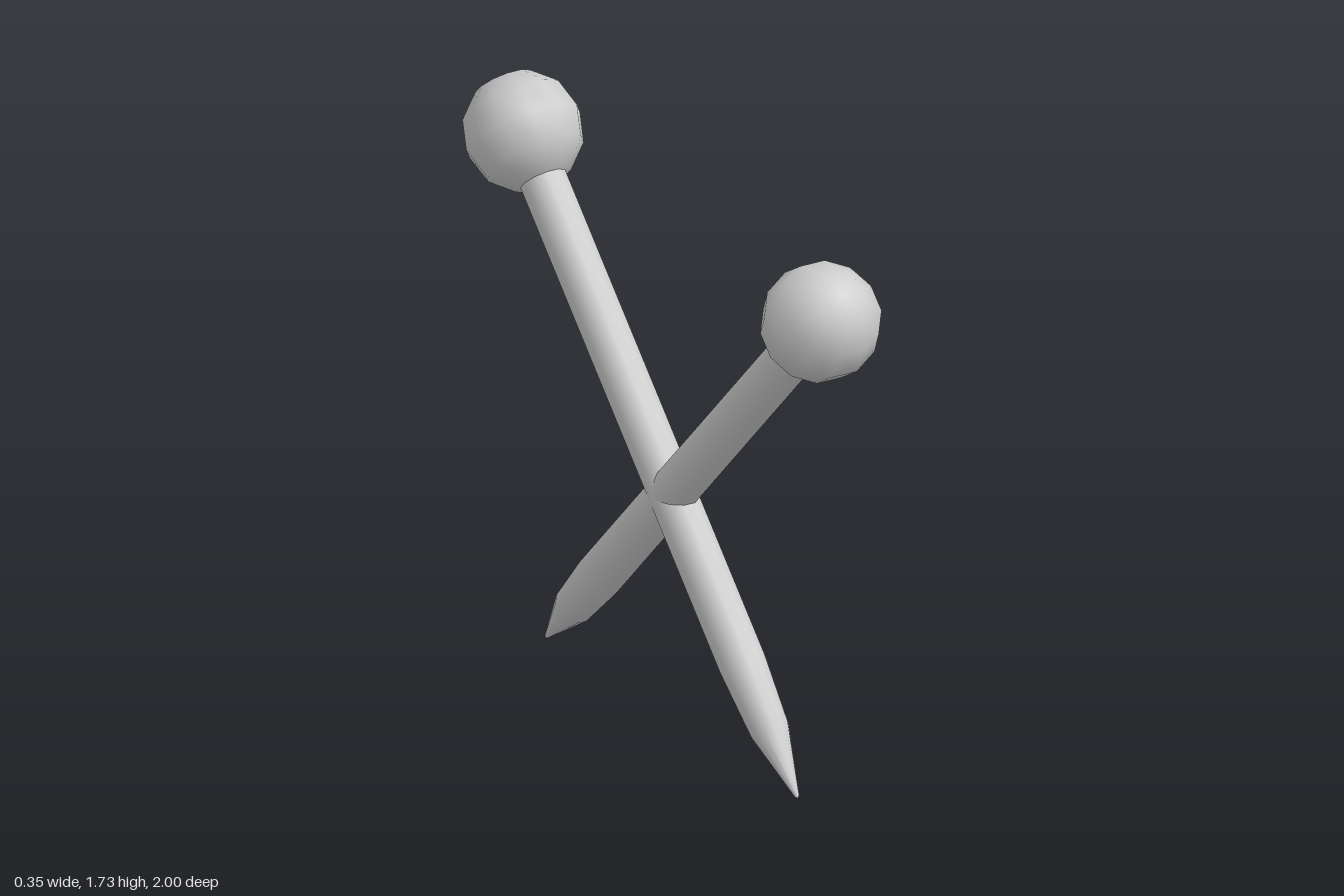
import * as THREE from 'three';

const SIDES = 12;
const HALF_STEP = Math.PI / SIDES; // turns a flat facet towards each axis
const CROSSING = 0.717; // height where the pins meet
const LEAN = THREE.MathUtils.degToRad(45.5 - 1);

// One ball-headed pin, built upright with the crossing point at its origin
function createPin(name, lean) {
  const pin = new THREE.Group();
  pin.name = name;
  const material = new THREE.MeshStandardMaterial({ color: 0xcccccc });

  // Shaft: radius and distance along the pin, from the tip to inside the head
  const profile = [
    [0, -0.998], [0.007, -0.99], [0.06, -0.773], [0.0725, -0.56], [0.0725, 1.1], [0, 1.1],
  ].map(([r, y]) => new THREE.Vector2(r, y));
  const shaft = new THREE.Mesh(new THREE.LatheGeometry(profile, SIDES, HALF_STEP), material);
  shaft.name = 'pointedShaft';

  // Faceted ball head
  const head = new THREE.Mesh(new THREE.SphereGeometry(0.18, SIDES, 6, HALF_STEP), material);
  head.name = 'ballHead';
  head.position.y = 1.18;

  pin.add(shaft, head);
  pin.position.y = CROSSING;
  pin.rotation.x = lean;
  return pin;
}

export function createModel() {
  const model = new THREE.Group();
  model.name = 'crossedPins';
  model.add(createPin('frontLeaningPin', LEAN), createPin('backLeaningPin', -LEAN));
  return model;
}
